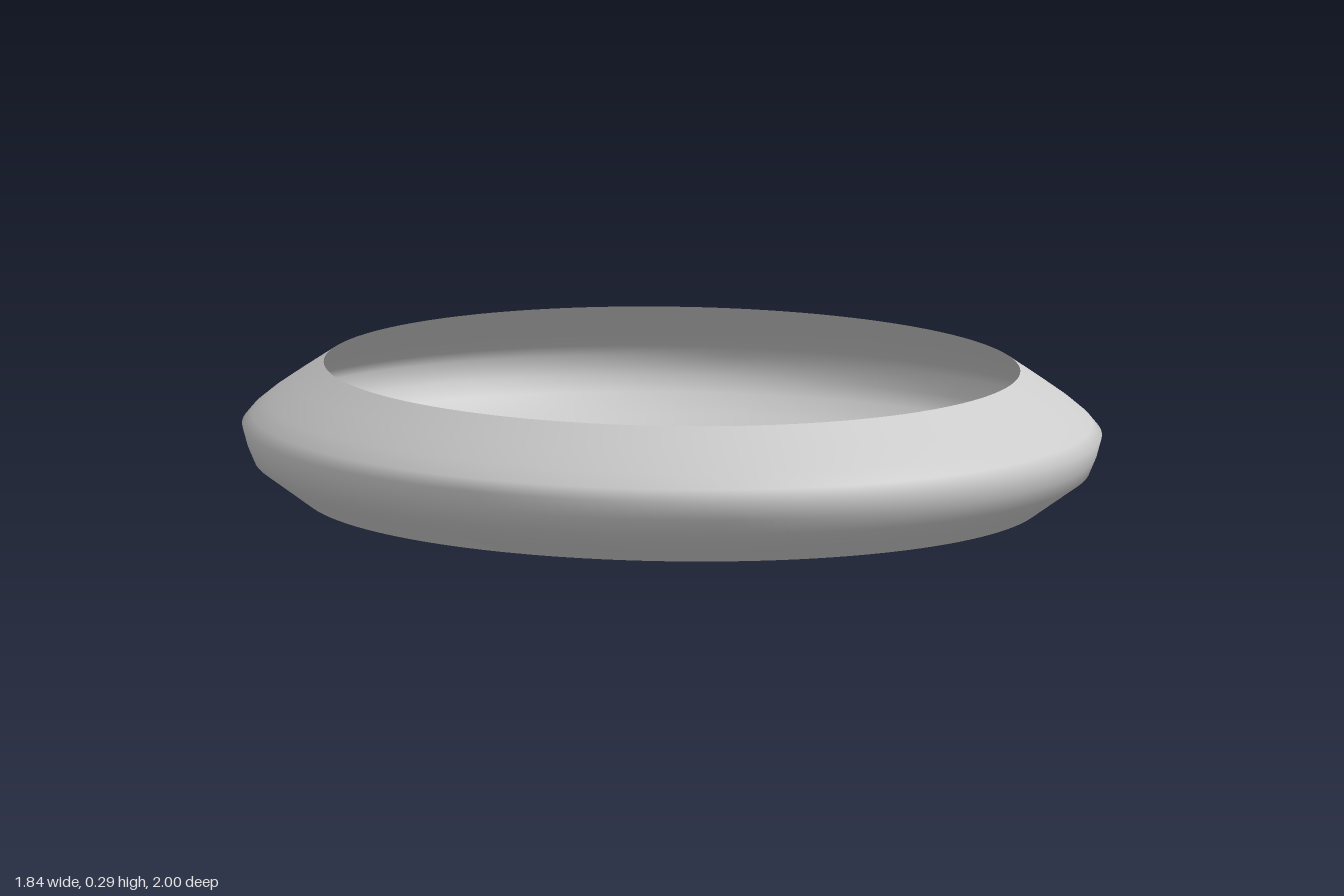
import * as THREE from 'three';

export function createModel() {
  const group = new THREE.Group();
  group.name = 'ovalRing';

  // Open shell profile (radius, height), from the lower rim up to the upper rim
  const profile = [
    [0.86, 0], [0.915, 0.038], [0.972, 0.077], [0.988, 0.113], [1, 0.155],
    [0.978, 0.18], [0.94, 0.21], [0.88, 0.25], [0.81, 0.295],
  ].map(([r, y]) => new THREE.Vector2(r, y));

  // Revolve, then narrow across x into an oval
  const geometry = new THREE.LatheGeometry(profile, 128);
  geometry.scale(0.92, 1, 1);

  const material = new THREE.MeshStandardMaterial({ color: 0xcccccc, side: THREE.DoubleSide });
  const shell = new THREE.Mesh(geometry, material);
  shell.name = 'ringShell';
  group.add(shell);
  return group;
}
